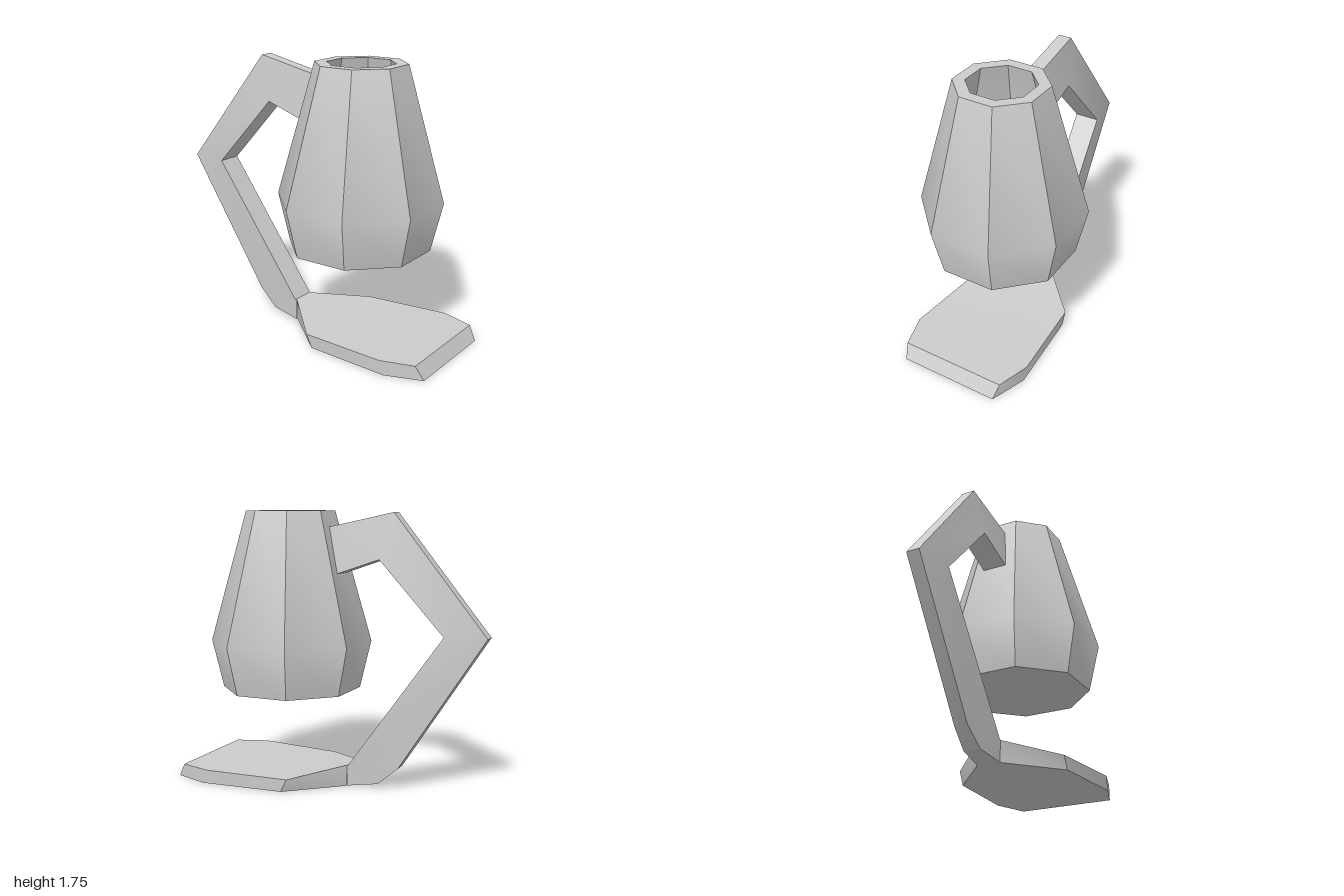
import * as THREE from 'three';
import { toCreasedNormals } from 'three/addons/utils/BufferGeometryUtils.js';

const CREASE = 0.55;

// Lofts a four-sided section along stations [outerZ, outerY, outerHalfWidth, innerZ, innerY, innerHalfWidth].
function loft(stations, capStart, capEnd) {
  const pos = [], idx = [];
  for (const [oz, oy, ow, iz, iy, iw] of stations) {
    pos.push(-ow, oy, oz, ow, oy, oz, iw, iy, iz, -iw, iy, iz);
  }
  const quad = (a, b, c, d) => idx.push(a, b, c, a, c, d);
  for (let s = 0; s < stations.length - 1; s++) {
    for (let k = 0; k < 4; k++) {
      const n = (k + 1) % 4;
      quad(s * 4 + k, s * 4 + n, s * 4 + 4 + n, s * 4 + 4 + k);
    }
  }
  const e = (stations.length - 1) * 4;
  if (capStart) quad(3, 2, 1, 0);
  if (capEnd) quad(e, e + 1, e + 2, e + 3);
  const geo = new THREE.BufferGeometry();
  geo.setAttribute('position', new THREE.Float32BufferAttribute(pos, 3));
  geo.setIndex(idx);
  return toCreasedNormals(geo, CREASE);
}

export function createModel() {
  const group = new THREE.Group();
  const material = new THREE.MeshStandardMaterial({ color: 0xcccccc });
  const add = (name, geo) => {
    const mesh = new THREE.Mesh(geo, material);
    mesh.name = name;
    group.add(mesh);
    return mesh;
  };

  // Hollow octagonal cup; profile given as [flat-to-centre distance, height]
  const profile = [
    [0, 0.6], [0.415, 0.6], [0.483, 0.91], [0.265, 1.75],
    [0.195, 1.75], [0.41, 0.91], [0.355, 0.67], [0, 0.67],
  ].map(([r, y]) => new THREE.Vector2(r / Math.cos(Math.PI / 8), y));
  const cupGeo = new THREE.LatheGeometry(profile, 8);
  cupGeo.rotateY(Math.PI / 8);
  const cup = add('cup', toCreasedNormals(cupGeo, CREASE));
  cup.position.z = 0.325;

  // Angular handle, narrower along its outer edge, sweeping down to the foot
  const joint = [-0.11, 0, 0.075, -0.11, 0.138, 0.08];
  add('handle', loft([
    [0.03, 1.65, 0.043, -0.04, 1.36, 0.08],
    [-0.4, 1.742, 0.043, -0.32, 1.455, 0.08],
    [-1, 1, 0.043, -0.74, 1, 0.08],
    [-0.44, 0.14, 0.043, -0.13, 0.155, 0.08],
    [-0.31, 0.03, 0.055, -0.12, 0.14, 0.08],
    joint,
  ], true, false));

  // Flat faceted foot below the cup
  const foot = add('foot', loft([
    joint,
    [0.22, 0, 0.365, 0.18, 0.083, 0.365],
    [0.77, 0, 0.405, 0.74, 0.09, 0.41],
    [1, 0, 0.325, 0.95, 0.088, 0.345],
  ], false, true));
  foot.position.x = 0.005;

  return group;
}
